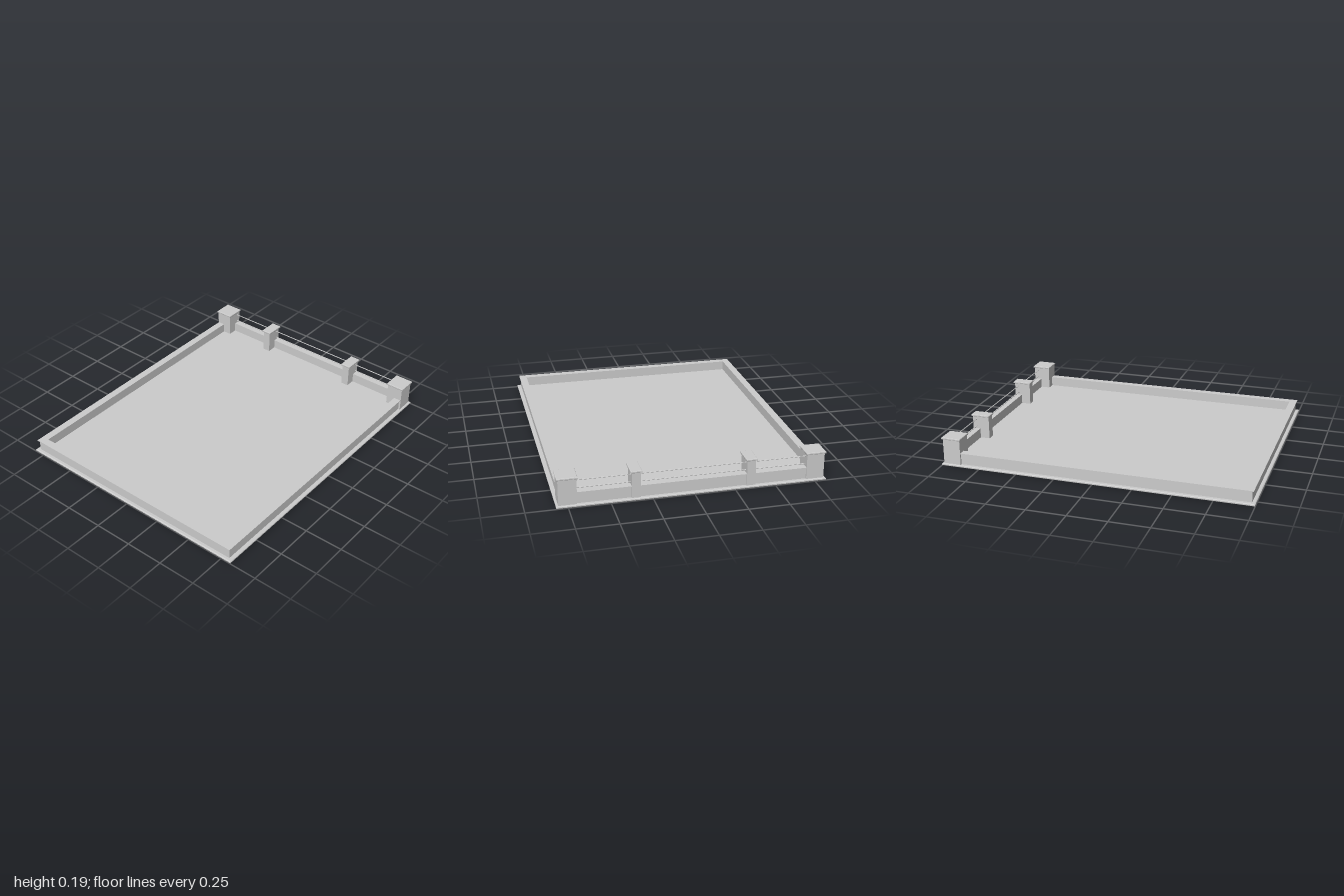
import * as THREE from 'three';

const grey = new THREE.MeshStandardMaterial({ color: 0xcccccc, flatShading: true });

// Mitred rectangular frame: sweeps a closed profile of [outward offset, height] around a rectangle
function frameGeometry(hx, hz, profile) {
  const corners = [[1, 1], [1, -1], [-1, -1], [-1, 1]];
  const at = (k, j) => {
    const [sx, sz] = corners[k % 4];
    const [d, y] = profile[j % profile.length];
    return [sx * (hx + d), y, sz * (hz + d)];
  };
  const pos = [];
  for (let k = 0; k < 4; k++) {
    for (let j = 0; j < profile.length; j++) {
      const a = at(k, j), b = at(k + 1, j), c = at(k + 1, j + 1), d = at(k, j + 1);
      pos.push(...a, ...b, ...c, ...a, ...c, ...d);
    }
  }
  const g = new THREE.BufferGeometry();
  g.setAttribute('position', new THREE.Float32BufferAttribute(pos, 3));
  g.computeVertexNormals();
  return g;
}

// Flat slab with a bevelled rim, standing on y = 0
function capGeometry(w, d, h) {
  const b = 0.004, x = w / 2 - b, z = d / 2 - b;
  const shape = new THREE.Shape([
    new THREE.Vector2(-x, -z), new THREE.Vector2(x, -z),
    new THREE.Vector2(x, z), new THREE.Vector2(-x, z),
  ]);
  const g = new THREE.ExtrudeGeometry(shape, {
    depth: h - 2 * b, bevelEnabled: true, bevelThickness: b, bevelSize: b, bevelSegments: 2,
  });
  return g.rotateX(-Math.PI / 2).translate(0, b, 0);
}

function add(parent, name, geometry, x = 0, y = 0, z = 0) {
  const mesh = new THREE.Mesh(geometry, grey);
  mesh.name = name;
  mesh.position.set(x, y, z);
  parent.add(mesh);
  return mesh;
}

export function createModel() {
  const model = new THREE.Group();
  model.name = 'walledTerrace';

  // Floor slab, slightly above the ground
  add(model, 'floor', new THREE.BoxGeometry(1.52, 0.007, 1.89), 0, 0.0235, 0);

  // Rounded moulding around the foot
  add(model, 'baseMoulding', frameGeometry(0.82, 1, [
    [-0.045, 0], [-0.005, 0], [0, 0.004], [0, 0.011], [-0.005, 0.015], [-0.045, 0.015],
  ]));

  // Low wall with a projecting lip along its top
  add(model, 'lowWall', frameGeometry(0.795, 0.978, [
    [-0.04, 0.01], [0, 0.01], [0, 0.082], [0.009, 0.085], [0.009, 0.09], [-0.04, 0.09],
  ]));

  // Capped posts along the back, mirrored left and right
  const bodyDepth = 0.113, postZ = -0.931, bodyBottom = 0.012, capBottom = 0.174;
  const posts = [
    { name: 'cornerPost', x: 0.752, width: 0.11, capWidth: 0.124 },
    { name: 'middlePost', x: 0.349, width: 0.053, capWidth: 0.07 },
  ];
  for (const side of [1, -1]) {
    for (const p of posts) {
      const post = new THREE.Group();
      post.name = (side > 0 ? 'left ' : 'right ') + p.name;
      post.position.set(side * p.x, 0, postZ);
      const height = capBottom + 0.002 - bodyBottom;
      add(post, 'postBody', new THREE.BoxGeometry(p.width, height, bodyDepth), 0, bodyBottom + height / 2, 0);
      add(post, 'postCap', capGeometry(p.capWidth, 0.126, 0.014), 0, capBottom, -0.001);
      model.add(post);
    }
  }

  // Two thin rails running through the posts
  for (const y of [0.107, 0.156]) {
    const rail = new THREE.CylinderGeometry(0.003, 0.003, 1.45, 8).rotateZ(Math.PI / 2);
    add(model, 'rail', rail, 0, y, -0.961);
  }

  return model;
}
